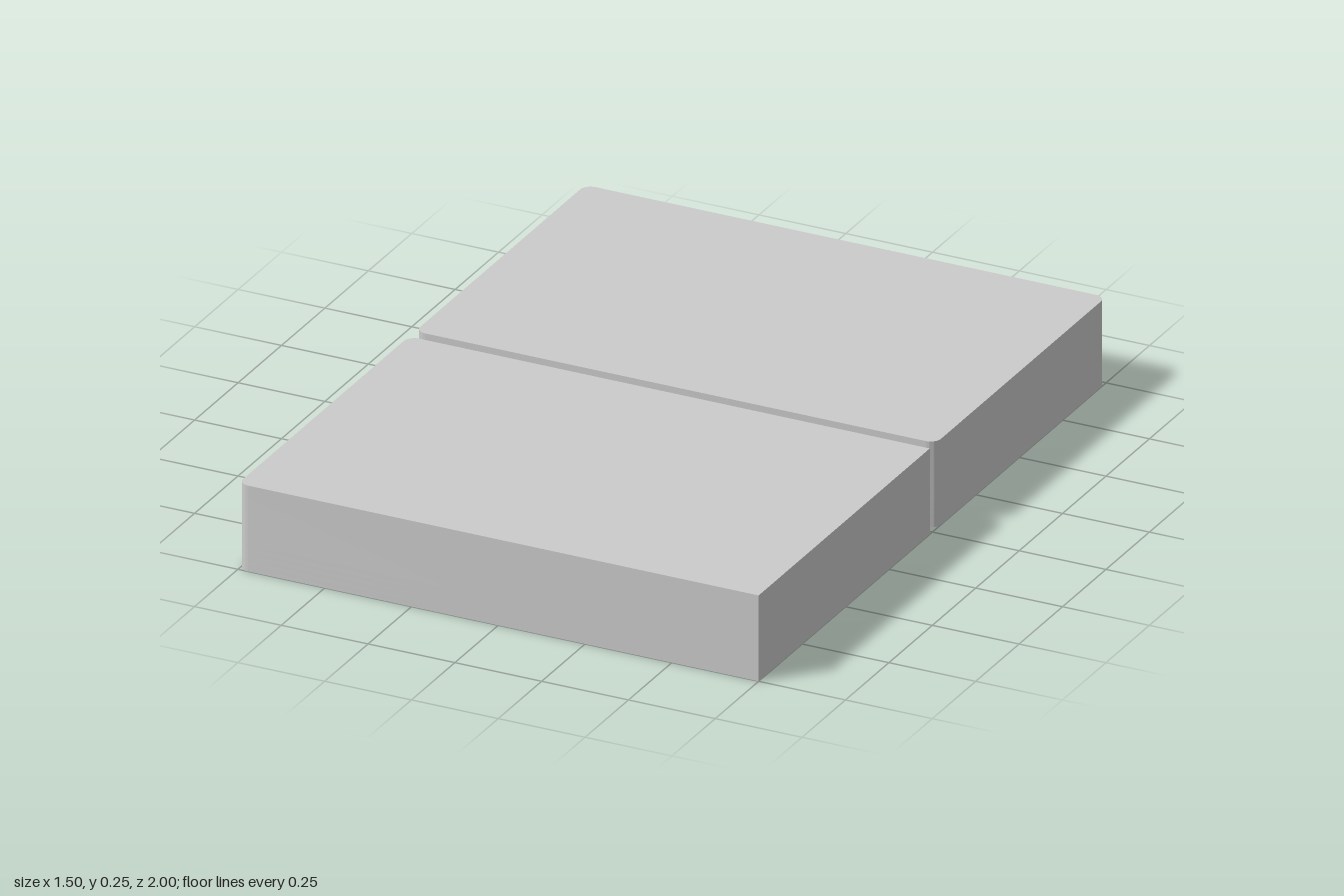
import * as THREE from 'three';
import { toCreasedNormals } from 'three/addons/utils/BufferGeometryUtils.js';

const HEIGHT = 0.245;
const material = new THREE.MeshStandardMaterial({ color: 0xcccccc });

// Shapes are drawn in (x, -z) and extruded upwards.
function slabShape(x0, x1, z0, z1, rLeft, rRight) {
  const s = new THREE.Shape();
  const a = -z1, b = -z0;
  const corner = (x, y, r, start) => {
    if (r > 0) s.absarc(x, y, r, start, start + Math.PI / 2, false);
    else s.lineTo(x, y);
  };
  s.moveTo(x0 + rLeft, a);
  corner(x1 - rRight, a + rRight, rRight, -Math.PI / 2);
  corner(x1 - rRight, b - rRight, rRight, 0);
  corner(x0 + rLeft, b - rLeft, rLeft, Math.PI / 2);
  corner(x0 + rLeft, a + rLeft, rLeft, Math.PI);
  return s;
}

// Pocket outline: a round head on a wider base whose shoulders are rounded.
function pocketHole({ x, z, flip, w, r, base }, inset) {
  const R = r - inset, rho = (w - r) * 0.9, pts = [];
  const add = (u, v) => pts.push(new THREE.Vector2(x + u, -z + v * flip));
  add(-w, -base);
  add(w, -base);
  for (let i = 0; i <= 6; i++) {
    const t = (i / 6) * Math.PI / 2;
    add(w - rho + rho * Math.cos(t), -rho + rho * Math.sin(t));
  }
  for (let i = 0; i <= 40; i++) {
    const t = (i / 40) * Math.PI;
    add(R * Math.cos(t), R * Math.sin(t));
  }
  for (let i = 0; i <= 6; i++) {
    const t = Math.PI / 2 + (i / 6) * Math.PI / 2;
    add(-w + rho + rho * Math.cos(t), -rho + rho * Math.sin(t));
  }
  return new THREE.Path(pts);
}

// Narrow slot ending in a small round hole, cut into the pocket ceiling.
function slotHole({ x, flip, pin, slotEnd }) {
  const R = 0.022, h = 0.005, a = Math.asin(h / R), pts = [];
  const len = Math.abs(slotEnd - pin);
  const add = (u, v) => pts.push(new THREE.Vector2(x + u, -pin + v * flip));
  add(-h, -len);
  add(h, -len);
  for (let i = 0; i <= 20; i++) {
    const t = -Math.PI / 2 + a + (i / 20) * (2 * Math.PI - 2 * a);
    add(R * Math.cos(t), R * Math.sin(t));
  }
  return new THREE.Path(pts);
}

function layer(name, outline, holes, y0, y1) {
  const shape = slabShape(...outline);
  shape.holes.push(...holes);
  const geo = new THREE.ExtrudeGeometry(shape, { depth: y1 - y0, bevelEnabled: false, curveSegments: 8 });
  geo.rotateX(-Math.PI / 2);
  const mesh = new THREE.Mesh(toCreasedNormals(geo, 0.6), material);
  mesh.position.y = y0;
  mesh.name = name;
  return mesh;
}

// A block is stacked from layers so its pockets have stepped round walls.
function block(name, outline, pockets) {
  const g = new THREE.Group();
  g.name = name;
  const steps = [0, 0.018, 0.037, 0.055];
  for (let i = 0; i < 3; i++) {
    const holes = pockets.map(p => pocketHole(p, i * 0.006));
    g.add(layer('pocketLayer' + (i + 1), outline, holes, steps[i], steps[i + 1]));
  }
  g.add(layer('slotLayer', outline, pockets.map(slotHole), 0.055, 0.075));
  g.add(layer('solidTop', outline, [], 0.075, HEIGHT));
  return g;
}

export function createModel() {
  const model = new THREE.Group();
  model.name = 'twoBlocks';

  // Front block: one large pocket, square corners on its left side
  model.add(block('frontBlock', [-0.75, 0.75, 0.015, 1, 0.03, 0], [
    { x: 0, z: 0.48, flip: 1, w: 0.415, r: 0.335, base: 0.41, pin: 0.34, slotEnd: 0.61 },
  ]));

  // Back block: two small pockets, all corners rounded
  model.add(block('backBlock', [-0.75, 0.75, -1, -0.02, 0.03, 0.03], [-0.373, 0.373].map(x => (
    { x, z: -0.53, flip: -1, w: 0.267, r: 0.235, base: 0.26, pin: -0.53, slotEnd: -0.73 }
  ))));

  return model;
}
